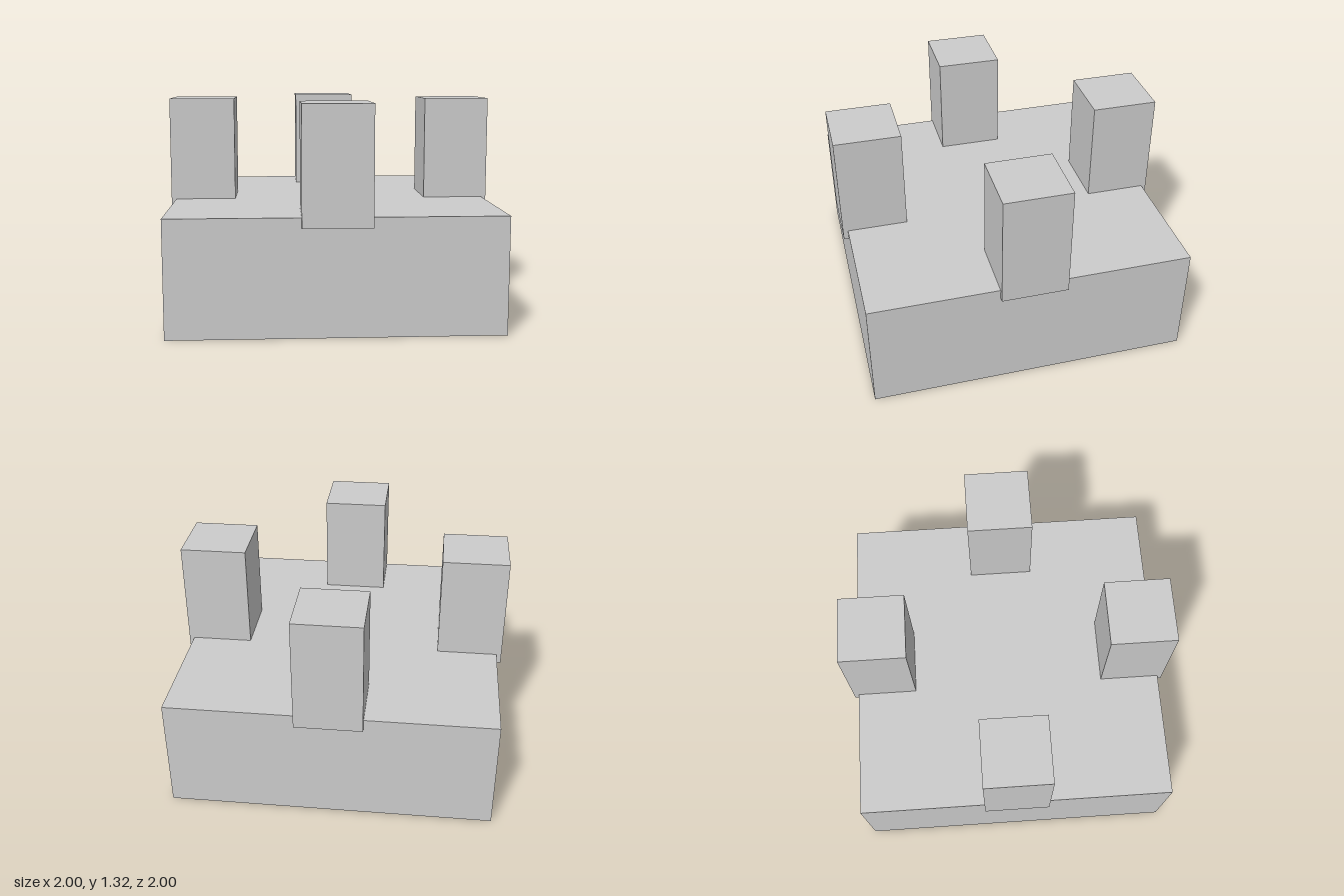
import * as THREE from 'three';

export function createModel() {
  const model = new THREE.Group();
  const material = new THREE.MeshStandardMaterial({ color: 0xcccccc });

  function addBox(name, width, height, depth, x, bottom, z) {
    const mesh = new THREE.Mesh(new THREE.BoxGeometry(width, height, depth), material);
    mesh.name = name;
    mesh.position.set(x, bottom + height / 2, z);
    model.add(mesh);
  }

  // Square block
  addBox('base', 1.94, 0.688, 1.94, 0, 0, 0);

  // One post at the middle of each edge, sunk into the block and overhanging slightly
  const posts = { frontPost: [0, 1], backPost: [0, -1], leftPost: [1, 0], rightPost: [-1, 0] };
  for (const [name, [x, z]] of Object.entries(posts)) {
    addBox(name, 0.4, 0.687, 0.4, x * 0.8, 0.63, z * 0.8);
  }

  return model;
}
